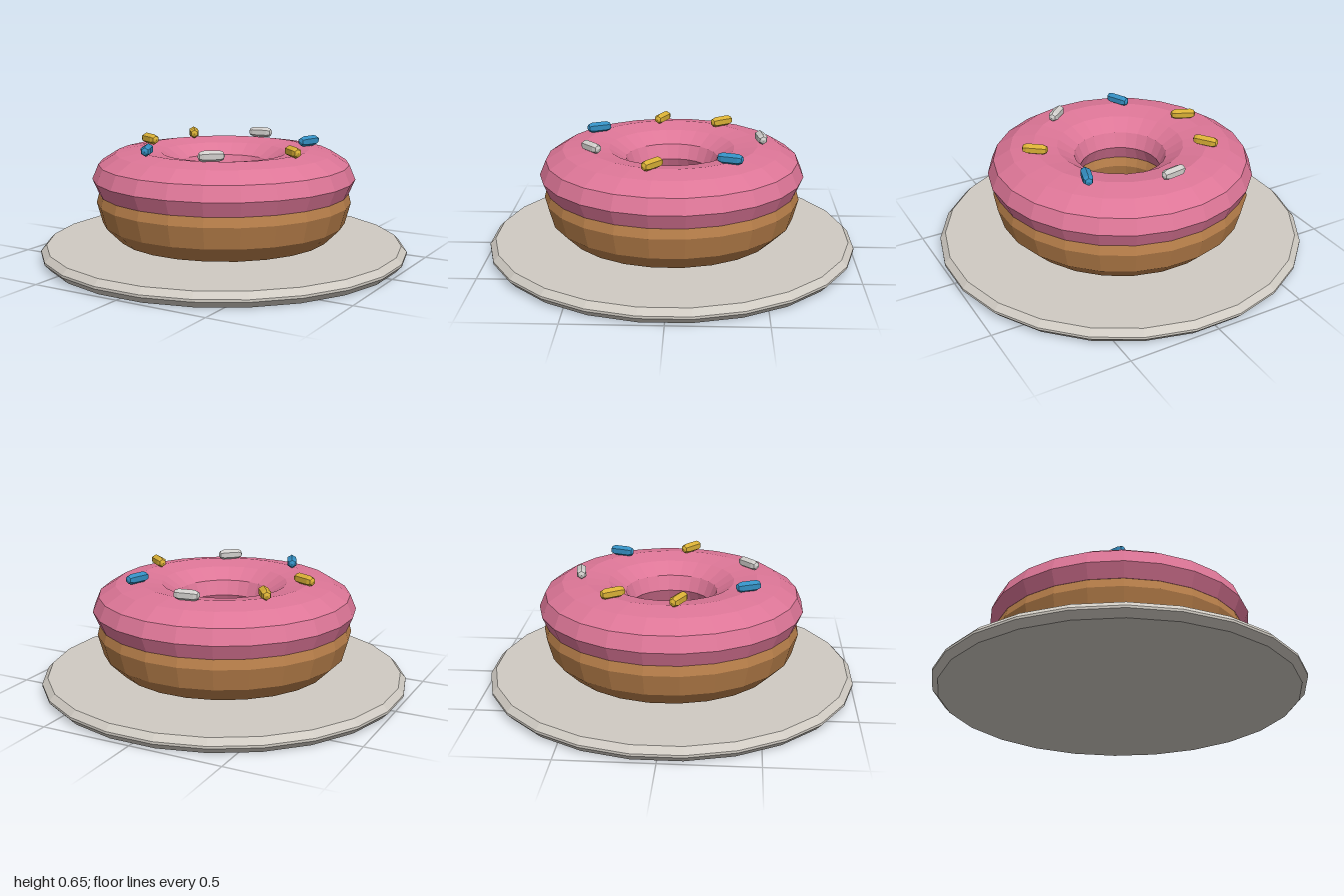
import * as THREE from 'three';

const SIDES = 24;
const HALF_STEP = Math.PI / SIDES;

const material = (name, color) => {
  const m = new THREE.MeshStandardMaterial({ color, flatShading: true });
  m.name = name;
  return m;
};

// Low-poly ring lying flat, with its facets square to the axes
function ring(name, radius, tube, y, squash, mat) {
  const geometry = new THREE.TorusGeometry(radius, tube, 12, SIDES);
  geometry.rotateX(-Math.PI / 2).rotateY(HALF_STEP).scale(1, squash, 1);
  const mesh = new THREE.Mesh(geometry, mat);
  mesh.name = name;
  mesh.position.y = y;
  return mesh;
}

export function createModel() {
  const ceramic = material('ceramic', 0xd0cbc3);
  const dough = material('dough', 0xb87f4a);
  const icing = material('pink icing', 0xdd7697);
  const yellow = material('yellow sugar', 0xd9b036);
  const blue = material('blue sugar', 0x348fc2);
  const white = material('white sugar', 0xd0cecb);

  const model = new THREE.Group();
  model.name = 'donutOnPlate';

  // Plate with a bevelled rim
  const profile = [[0, 0], [0.976, 0], [1.0086, 0.035], [1.0086, 0.048], [0.978, 0.08], [0, 0.08]]
    .map(([r, y]) => new THREE.Vector2(r, y));
  const plate = new THREE.Mesh(new THREE.LatheGeometry(profile, SIDES, HALF_STEP), ceramic);
  plate.name = 'plate';
  model.add(plate);

  // Dough ring and the flatter icing ring sunk into it
  model.add(ring('doughRing', 0.468, 0.231, 0.312, 1, dough));
  model.add(ring('icingRing', 0.468, 0.252, 0.442, 0.627, icing));

  // Sprinkles: x, z, direction in x and z, colour
  const sprinkles = new THREE.Group();
  sprinkles.name = 'sprinkles';
  const sprinkleGeometry = new THREE.CapsuleGeometry(0.029, 0.084, 2, 6).rotateZ(Math.PI / 2);
  [
    [-0.037, -0.487, 25, -4, white],
    [0.364, -0.311, 8, -25, blue],
    [-0.37, -0.275, 16, 23, yellow],
    [-0.444, 0.068, 24, 11, yellow],
    [0.465, 0.083, 20, 16, yellow],
    [-0.219, 0.418, 11, 24, blue],
    [0.176, 0.42, 20, -18, white],
  ].forEach(([x, z, dx, dz, mat], i) => {
    const sprinkle = new THREE.Mesh(sprinkleGeometry, mat);
    sprinkle.name = `sprinkle${i + 1}`;
    sprinkle.position.set(x, 0.626, z);
    sprinkle.rotation.y = Math.atan2(-dz, dx);
    sprinkles.add(sprinkle);
  });
  model.add(sprinkles);

  return model;
}
